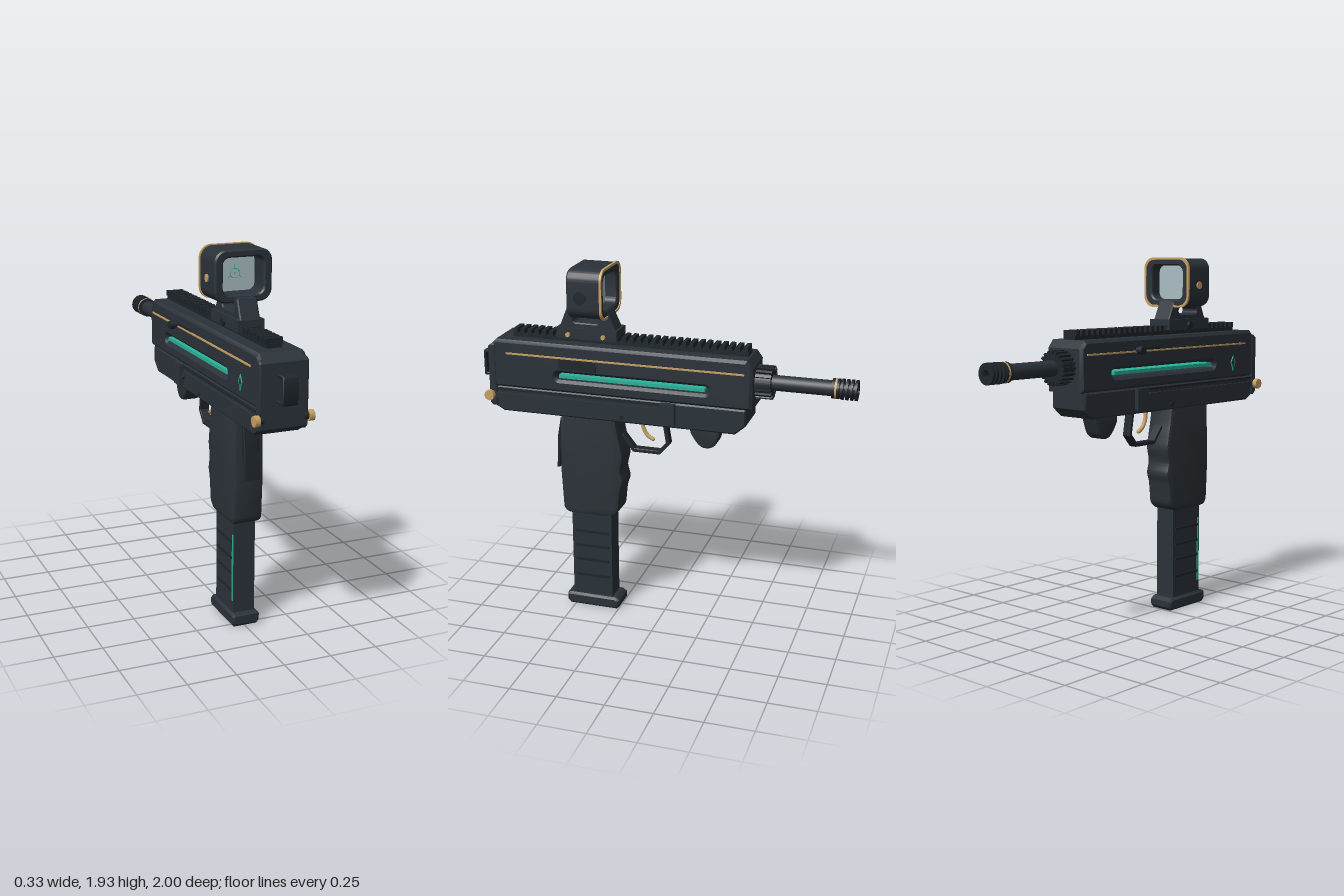
import * as THREE from 'three';
import { toCreasedNormals } from 'three/addons/utils/BufferGeometryUtils.js';

const mat = (name, color) => Object.assign(new THREE.MeshStandardMaterial({ color }), { name });

export function createModel() {
  const root = new THREE.Group();
  root.name = 'compactBlaster';
  const g = new THREE.Group();
  g.name = 'parts';
  g.position.x = 0.005;
  root.add(g);

  const body = mat('gunmetal', 0x2a3239);
  const grip = mat('gripGrey', 0x2b3238);
  const dark = mat('darkSteel', 0x1f262b);
  const black = mat('boreBlack', 0x0c0f11);
  const gold = mat('brass', 0xc8a163);
  const teal = mat('tealGlow', 0x2bb39a);
  const glass = mat('lensGlass', 0xa9bdc3);

  const add = (name, geo, m, x = 0, y = 0, z = 0) => {
    const mesh = new THREE.Mesh(geo, m);
    mesh.name = name;
    mesh.position.set(x, y, z);
    g.add(mesh);
    return mesh;
  };
  const box = (name, m, w, h, d, x, y, z) => add(name, new THREE.BoxGeometry(w, h, d), m, x, y, z);
  const poly = (pts) => new THREE.Shape(pts.map((p) => new THREE.Vector2(...p)));
  const roundRect = (w, h, r, cx = 0, cy = 0, C = THREE.Shape) => {
    const s = new C(), x = w / 2, y = h / 2;
    s.absarc(cx + x - r, cy + y - r, r, 0, Math.PI / 2);
    s.absarc(cx - x + r, cy + y - r, r, Math.PI / 2, Math.PI);
    s.absarc(cx - x + r, cy - y + r, r, Math.PI, Math.PI * 1.5);
    s.absarc(cx + x - r, cy - y + r, r, Math.PI * 1.5, Math.PI * 2);
    s.closePath();
    return s;
  };
  const extrude = (shape, width, bevel, segs = 1) => {
    const geo = new THREE.ExtrudeGeometry(shape, {
      depth: width - 2 * bevel, bevelEnabled: bevel > 0, bevelSize: bevel, bevelThickness: bevel,
      bevelOffset: -bevel, bevelSegments: segs, curveSegments: 8,
    });
    return geo.translate(0, 0, -(width - 2 * bevel) / 2);
  };
  // Side profile drawn in (z, y), extruded across x
  const side = (name, m, shape, width, bevel = 0, segs = 1) =>
    add(name, toCreasedNormals(extrude(shape, width, bevel, segs).rotateY(-Math.PI / 2), 0.6), m);
  const cylX = (name, m, r, len, x, y, z, n = 20) =>
    add(name, new THREE.CylinderGeometry(r, r, len, n).rotateZ(Math.PI / 2), m, x, y, z);
  const cylZ = (name, m, r, z0, z1, y = 1.385, n = 28) =>
    add(name, new THREE.CylinderGeometry(r, r, Math.abs(z1 - z0), n).rotateX(Math.PI / 2), m, 0, y, (z0 + z1) / 2);

  // Upper receiver with a slot right through it
  const upper = poly([[0.92, 1.26], [-0.49, 1.26], [-0.49, 1.48], [-0.46, 1.52], [0.89, 1.52], [0.92, 1.49]]);
  upper.holes.push(roundRect(0.82, 0.04, 0.0195, 0.148, 1.347, THREE.Path));
  side('upperReceiver', body, upper, 0.244, 0.015);
  box('slotGlowBar', teal, 0.226, 0.018, 0.785, 0, 1.347, 0.148);

  // Lower receiver and rear cap
  side('lowerReceiver', body, poly([[0.92, 1.262], [0.92, 1.16], [0.86, 1.127], [-0.405, 1.127],
    [-0.46, 1.175], [-0.46, 1.262]]), 0.234, 0.008);
  side('rearCap', body, poly([[0.935, 1.17], [0.935, 1.48], [0.915, 1.495], [0.89, 1.495], [0.89, 1.155], [0.92, 1.155]]), 0.25, 0.008);

  // Rear sling loop
  const loop = roundRect(0.085, 0.14, 0.008, 0.957, 1.36);
  loop.holes.push(roundRect(0.055, 0.11, 0.004, 0.957, 1.36, THREE.Path));
  side('rearLoop', dark, loop, 0.078, 0.004);

  // Side trim, mirrored
  for (const s of [-1, 1]) {
    box('brassPinstripe', gold, 0.008, 0.009, 1.28, s * 0.124, 1.45, 0.19);
    box('sideRail', body, 0.02, 0.028, 0.88, s * 0.12, 1.215, 0.455);
    const bend = box('sideRailBend', body, 0.02, 0.028, 0.05, s * 0.12, 1.206, 0.0);
    bend.rotation.x = -0.6;
    box('sideRailUpper', dark, 0.012, 0.012, 0.9, s * 0.12, 1.25, 0.44);
    box('sideCatch', body, 0.03, 0.115, 0.08, s * 0.127, 1.203, -0.053);
    cylX('rearPinCollar', dark, 0.02, 0.03, s * 0.118, 1.215, 0.925, 8);
    cylX('rearPin', gold, 0.028, 0.026, s * 0.138, 1.215, 0.928, 8);
    cylX('gripPin', dark, 0.012, 0.012, s * 0.116, 1.155, 0.2, 12);
  }
  box('ejectionPort', dark, 0.008, 0.058, 0.205, 0.122, 1.418, 0.435);

  // Cocking knob and diamond inlay on the other side
  cylX('cockingKnobStem', dark, 0.013, 0.03, -0.13, 1.457, -0.085);
  cylX('cockingKnob', dark, 0.021, 0.03, -0.155, 1.457, -0.085);
  box('cockingSlot', dark, 0.006, 0.02, 0.22, -0.122, 1.457, 0.0);
  const diamond = poly([[0.7, 1.35], [0.72, 1.385], [0.74, 1.35], [0.72, 1.3]]);
  diamond.holes.push(poly([[0.707, 1.35], [0.72, 1.374], [0.733, 1.35], [0.72, 1.316]]));
  side('diamondInlay', teal, diamond, 0.006).position.x = -0.123;

  // Toothed top rail
  box('topRailBase', dark, 0.08, 0.022, 1.27, 0, 1.53, 0.185);
  for (let i = 0; i < 32; i++) box('railTooth', dark, 0.092, 0.028, 0.023, 0, 1.553, 0.805 - i * 0.04);

  // Sight mount
  box('sightClamp', body, 0.14, 0.055, 0.33, 0, 1.572, 0.4);
  const mount = poly([[0.555, 1.595], [0.245, 1.595], [0.29, 1.695], [0.515, 1.695]]);
  mount.holes.push(roundRect(0.145, 0.036, 0.017, 0.408, 1.643, THREE.Path));
  side('sightMount', body, mount, 0.105, 0.006);
  for (const z of [0.5, 0.307]) cylX('mountScrew', gold, 0.012, 0.016, 0.076, 1.565, z, 8);
  cylX('mountLever', dark, 0.02, 0.016, -0.074, 1.565, 0.4, 12);

  // Sight hood, brass rim, lens and reticle
  const hood = roundRect(0.3, 0.255, 0.06);
  hood.holes.push(roundRect(0.212, 0.18, 0.035, 0, 0, THREE.Path));
  add('sightHood', toCreasedNormals(extrude(hood, 0.185, 0.008), 0.6), body, 0, 1.795, 0.3825);
  const rim = roundRect(0.31, 0.265, 0.062);
  rim.holes.push(roundRect(0.286, 0.241, 0.054, 0, 0, THREE.Path));
  add('sightBrassRim', toCreasedNormals(extrude(rim, 0.012, 0), 0.6), gold, 0, 1.795, 0.291);
  box('lens', glass, 0.216, 0.184, 0.008, 0, 1.795, 0.36);
  add('reticleRing', new THREE.TorusGeometry(0.024, 0.002, 6, 32), teal, 0, 1.792, 0.366);
  add('reticleDot', new THREE.CircleGeometry(0.004, 12), teal, 0, 1.792, 0.367);
  for (let i = 0; i < 3; i++) {
    const a = Math.PI / 2 + i * Math.PI * 2 / 3;
    box('reticleTick', teal, 0.018, 0.004, 0.003, Math.cos(a) * 0.032, 1.792 + Math.sin(a) * 0.032, 0.366).rotation.z = a;
  }
  cylX('sightDial', dark, 0.033, 0.012, 0.15, 1.78, 0.402, 24);
  cylX('sightButton', gold, 0.02, 0.012, -0.15, 1.78, 0.38, 16);

  // Grip with finger swells
  const gs = new THREE.Shape();
  gs.moveTo(0.555, 1.14);
  gs.lineTo(0.565, 0.8);
  gs.lineTo(0.555, 0.6);
  gs.quadraticCurveTo(0.55, 0.56, 0.51, 0.557);
  gs.lineTo(0.31, 0.557);
  gs.quadraticCurveTo(0.25, 0.56, 0.238, 0.61);
  gs.splineThru([[0.227, 0.71], [0.212, 0.765], [0.225, 0.83], [0.212, 0.9], [0.222, 0.97], [0.238, 1.05], [0.25, 1.14]]
    .map((p) => new THREE.Vector2(...p)));
  side('grip', grip, gs, 0.156, 0.018, 2);
  side('gripSafety', dark, poly([[0.55, 1.09], [0.57, 1.09], [0.588, 0.99], [0.597, 0.805], [0.582, 0.805],
    [0.572, 0.9], [0.55, 0.96]]), 0.08, 0.004);

  // Magazine with ribs, glowing strip and base plate
  box('magazine', body, 0.115, 0.52, 0.225, 0, 0.32, 0.398);
  for (const y of [0.45, 0.365, 0.28, 0.185])
    box('magazineRib', dark, 0.127, 0.014, 0.19, 0, y, 0.398);
  box('magazineGlowStrip', teal, 0.006, 0.36, 0.012, -0.058, 0.31, 0.498);
  side('magazineBase', body, poly([[0.53, 0], [0.26, 0], [0.243, 0.018], [0.243, 0.052], [0.265, 0.068],
    [0.53, 0.068], [0.547, 0.06], [0.547, 0.018]]), 0.148, 0.012);

  // Trigger guard (outer and inner outline) and trigger
  side('triggerGuard', dark, poly([[0.235, 1.02], [0.17, 0.935], [0.02, 0.935], [-0.034, 0.998], [-0.012, 1.13],
    [0.008, 1.13], [-0.013, 1.004], [0.029, 0.955], [0.161, 0.955], [0.22, 1.03]].reverse()), 0.05, 0.003);
  const trig = new THREE.CatmullRomCurve3([[1.14, 0.125], [1.07, 0.117], [1.03, 0.095], [1.01, 0.065]]
    .map(([y, z]) => new THREE.Vector3(0, y, z)));
  add('trigger', new THREE.TubeGeometry(trig, 14, 0.011, 8), gold);
  add('triggerTip', new THREE.SphereGeometry(0.011, 8, 6), gold, 0, 1.01, 0.065);

  // Hand stop under the front
  const stop = new THREE.Shape();
  stop.moveTo(-0.145, 1.135);
  stop.lineTo(-0.15, 1.085);
  stop.quadraticCurveTo(-0.19, 1.01, -0.225, 1.005);
  stop.quadraticCurveTo(-0.275, 1.0, -0.295, 1.045);
  stop.lineTo(-0.325, 1.135);
  side('handStop', grip, stop, 0.1, 0.015, 2);

  // Knurled barrel nut
  cylZ('barrelNut', dark, 0.074, -0.48, -0.57);
  for (let i = 0; i < 20; i++) {
    const a = (i / 20) * Math.PI * 2;
    box('nutTooth', dark, 0.02, 0.013, 0.082, Math.cos(a) * 0.077, 1.385 + Math.sin(a) * 0.077, -0.534)
      .rotation.z = a;
  }

  // Barrel, brass ring and finned muzzle with a hollow bore
  cylZ('barrel', body, 0.04, -0.56, -0.88);
  cylZ('muzzleCollar', dark, 0.051, -0.872, -0.888);
  cylZ('muzzleBrassRing', gold, 0.052, -0.888, -0.898);
  cylZ('muzzleShoulder', dark, 0.051, -0.898, -0.91);
  const bore = [[0.018, 0.9], [0.034, 0.9], [0.034, 0.995], [0.018, 0.995], [0.018, 0.9]]
    .map((p) => new THREE.Vector2(...p));
  add('muzzleCore', toCreasedNormals(new THREE.LatheGeometry(bore, 24).rotateX(-Math.PI / 2), 0.6), dark, 0, 1.385, 0);
  for (const z of [0.918, 0.942, 0.966, 0.988]) {
    const ring = [[0.02, z], [0.053, z], [0.053, z + 0.012], [0.02, z + 0.012], [0.02, z]]
      .map((p) => new THREE.Vector2(...p));
    add('muzzleFin', toCreasedNormals(new THREE.LatheGeometry(ring, 28).rotateX(-Math.PI / 2), 0.6), dark, 0, 1.385, 0);
  }
  cylZ('bore', black, 0.02, -0.9, -0.97);

  return root;
}
